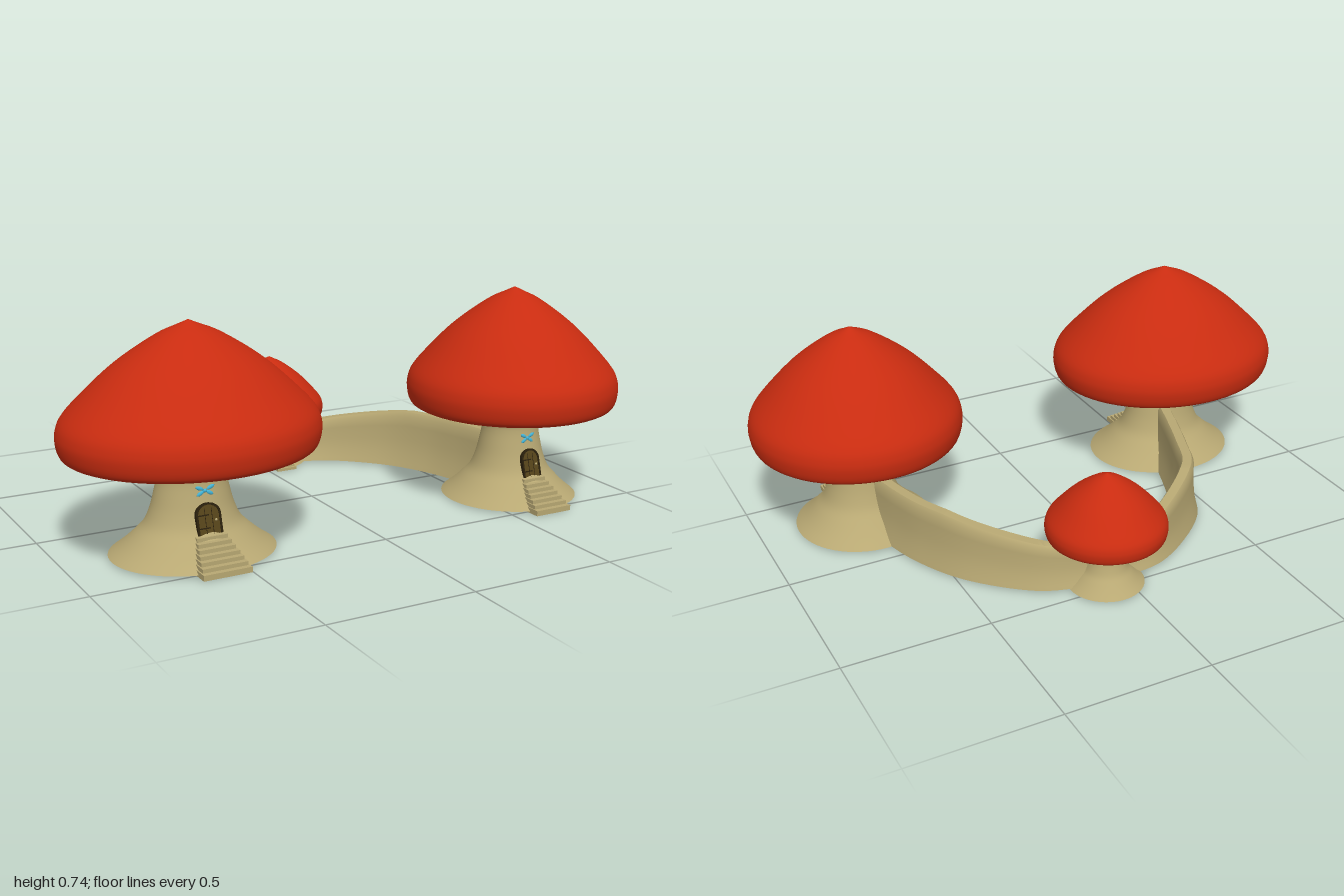
import * as THREE from 'three';
import { toCreasedNormals } from 'three/addons/utils/BufferGeometryUtils.js';

const mat = (color, side = THREE.FrontSide) => new THREE.MeshStandardMaterial({ color, side });
const RED = mat(0xc92c10);
const STONE = mat(0xb8a873, THREE.DoubleSide);
const WOOD = mat(0x55431a);
const DARK = mat(0x2a200c);
const BLUE = mat(0x45b4d6);

function add(parent, name, geometry, material, x = 0, y = 0, z = 0) {
  const mesh = new THREE.Mesh(geometry, material);
  mesh.name = name;
  mesh.position.set(x, y, z);
  parent.add(mesh);
  return mesh;
}

// Smooth lathe through a few [radius, height] points
function lathe(points, samples) {
  const curve = new THREE.SplineCurve(points.map(p => new THREE.Vector2(...p)));
  const profile = curve.getPoints(samples).map(p => p.setX(Math.max(p.x, 0)));
  return new THREE.LatheGeometry(profile, 64);
}

function archShape(w, h) {
  const s = new THREE.Shape();
  s.moveTo(-w, 0);
  s.lineTo(w, 0);
  s.lineTo(w, h - w);
  s.absarc(0, h - w, w, 0, Math.PI);
  s.lineTo(-w, 0);
  return s;
}
const slab = (shape, depth) =>
  new THREE.ExtrudeGeometry(shape, { depth, bevelEnabled: false, curveSegments: 10 });

// Arched plank door with frame, hinges and knob
function makeDoor() {
  const door = new THREE.Group();
  door.name = 'door';
  const frame = archShape(0.036, 0.098);
  frame.holes.push(archShape(0.03, 0.091));
  add(door, 'doorFrame', slab(frame, 0.014), DARK, 0, 0, -0.005);
  add(door, 'doorPanel', slab(archShape(0.03, 0.091), 0.012), WOOD, 0, 0, -0.005);
  for (const x of [-0.01, 0.01])
    add(door, 'plankGap', new THREE.BoxGeometry(0.0015, 0.078, 0.002), DARK, x, 0.042, 0.007);
  for (const y of [0.02, 0.06])
    add(door, 'hinge', new THREE.BoxGeometry(0.03, 0.004, 0.003), DARK, -0.014, y, 0.008);
  add(door, 'knob', new THREE.SphereGeometry(0.004, 10, 8), STONE, 0.02, 0.042, 0.009);
  door.position.set(0, 0.094, 0.133);
  door.rotation.x = -0.27;
  return door;
}

// Small blue bow-like ornament above the door
function makeOrnament() {
  const ornament = new THREE.Group();
  ornament.name = 'ornament';
  for (const s of [-1, 1]) {
    for (const [x, y, tilt] of [[0.016, 0.009, 0.5], [0.013, -0.008, -0.6]]) {
      const petal = add(ornament, 'petal', new THREE.SphereGeometry(1, 12, 8), BLUE, s * x, y, 0);
      petal.scale.set(0.013, 0.006, 0.004);
      petal.rotation.z = s * tilt;
    }
  }
  add(ornament, 'ornamentCentre', new THREE.SphereGeometry(0.006, 10, 8), BLUE);
  ornament.position.set(0, 0.225, 0.101);
  return ornament;
}

// One house, modelled at the large size
function makeHouse(name, x, z, sx, s) {
  const house = new THREE.Group();
  house.name = name;

  add(house, 'cap', lathe([
    [0.333, 0.328], [0.352, 0.34], [0.362, 0.37], [0.363, 0.41], [0.346, 0.455], [0.29, 0.522],
    [0.225, 0.59], [0.16, 0.645], [0.085, 0.698], [0.035, 0.723], [0, 0.74]], 60), RED);

  add(house, 'capUnderside', lathe([
    [0.142, 0.32], [0.155, 0.342], [0.19, 0.362], [0.235, 0.358], [0.27, 0.335],
    [0.3, 0.328], [0.333, 0.328]], 30), STONE);

  // Flared trunk with a rounded collar under the cap
  add(house, 'stem', lathe([
    [0.235, 0.006], [0.2, 0.035], [0.165, 0.07], [0.136, 0.105], [0.118, 0.15], [0.106, 0.2],
    [0.098, 0.245], [0.1, 0.27], [0.122, 0.288], [0.142, 0.3], [0.148, 0.318], [0.145, 0.335]], 50), STONE);
  const base = add(house, 'base', new THREE.CircleGeometry(0.235, 64), STONE, 0, 0.006, 0);
  base.rotation.x = Math.PI / 2;

  // Steps narrowing up to the door
  const steps = 7;
  for (let i = 0; i < steps; i++) {
    const top = 0.018 + i * 0.0125;
    const front = 0.263 - i * 0.0185;
    add(house, 'step', new THREE.BoxGeometry(0.14 - i * 0.0085, top, 0.09), STONE,
      0, top / 2, front - 0.045);
  }

  house.add(makeDoor(), makeOrnament());
  house.position.set(x, 0, z);
  house.scale.set(sx, s, s);
  return house;
}

// Curved wall swept along the ground, tapering in height towards the small house
function makeWall(name, points) {
  const curve = new THREE.CatmullRomCurve3(points.map(([x, z]) => new THREE.Vector3(x, 0, z)));
  // Half section: [offset, fraction of height]
  const half = [[0.046, 0], [0.042, 0.08], [0.033, 0.25], [0.027, 0.5], [0.025, 0.75], [0.024, 0.93], [0.016, 1]];
  const section = [...half, ...half.map(([o, h]) => [-o, h]).reverse()];
  const n = section.length, steps = 48;
  const pos = [], index = [];
  for (let i = 0; i <= steps; i++) {
    const p = curve.getPointAt(i / steps);
    const t = curve.getTangentAt(i / steps);
    const k = THREE.MathUtils.clamp((Math.abs(p.x - 0.065) - 0.1) / 0.33, 0, 1);
    const height = 0.135 + 0.073 * k;
    for (const [o, h] of section)
      pos.push(p.x - t.z * o, 0.006 + h * height, p.z + t.x * o);
    if (i === steps) break;
    for (let j = 0; j < n; j++) {
      const a = i * n + j, b = i * n + (j + 1) % n;
      index.push(a, b, a + n, b, b + n, a + n);
    }
  }
  const g = new THREE.BufferGeometry();
  g.setAttribute('position', new THREE.Float32BufferAttribute(pos, 3));
  g.setIndex(index);
  const mesh = new THREE.Mesh(toCreasedNormals(g, 0.9), STONE);
  mesh.name = name;
  return mesh;
}

export function createModel() {
  const model = new THREE.Group();
  model.name = 'mushroomHouses';
  model.add(
    makeHouse('leftHouse', 0.635, 0.29, 1, 1),
    makeHouse('rightHouse', -0.583, 0.29, 1.152, 1),
    makeHouse('smallHouse', 0.065, -0.455, 0.552, 0.552),
    makeWall('leftWall', [[0.61, 0.24], [0.575, 0.07], [0.53, -0.065], [0.44, -0.22],
      [0.27, -0.375], [0.16, -0.415], [0.07, -0.44]]),
    makeWall('rightWall', [[-0.56, 0.24], [-0.505, 0.07], [-0.455, -0.07], [-0.395, -0.21],
      [-0.26, -0.335], [-0.13, -0.41], [-0.03, -0.425], [0.06, -0.44]]),
  );
  return model;
}
